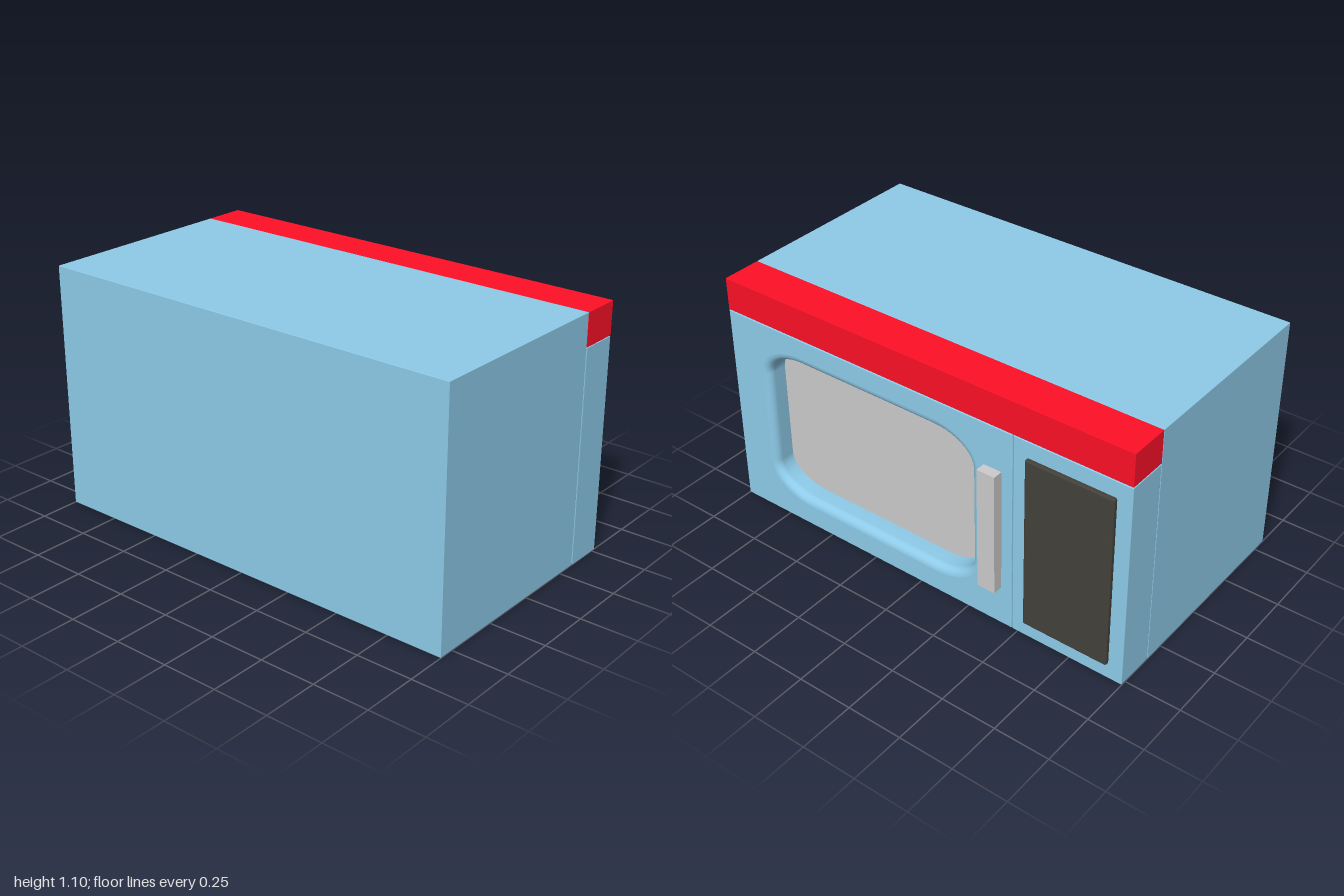
import * as THREE from 'three';
import { RoundedBoxGeometry } from 'three/addons/geometries/RoundedBoxGeometry.js';

const paint = (color) => new THREE.MeshStandardMaterial({ color });
const blue = paint(0x8ecbe9);
const red = paint(0xfe1027);
const dark = paint(0x43413a);
const grey = paint(0xcccccc);

const FRONT = 0.525, BACK = 0.345, GLASS = 0.43;
const BEVEL = 0.004, FILLET = 0.035;

// Window outline in door coordinates (u = -z, v = y), grown outward by o
function windowPoints(o) {
  const cu = -0.265, cv = 0.48, hw = 0.535 + o, hh = 0.345 + o;
  const ru = 0.19 + o, rv = 0.12 + o, steps = 10, pts = [];
  const corners = [[1, 1], [-1, 1], [-1, -1], [1, -1]];
  corners.forEach(([su, sv], k) => {
    for (let i = 0; i <= steps; i++) {
      const a = (k + i / steps) * Math.PI / 2;
      pts.push(new THREE.Vector2(
        cu + su * (hw - ru) + ru * Math.cos(a),
        cv + sv * (hh - rv) + rv * Math.sin(a)));
    }
  });
  return pts;
}

// Rounded rim and straight wall of the window recess, lofted from rings
function recessGeometry() {
  const profile = [];
  for (let i = 0; i <= 6; i++) {
    const t = i / 6 * Math.PI / 2;
    profile.push([FILLET * (1 - Math.sin(t)), FRONT - FILLET * (1 - Math.cos(t))]);
  }
  profile.push([0, GLASS]);
  const pos = [], index = [];
  profile.forEach(([o, x]) => windowPoints(o).forEach((p) => pos.push(x, p.y, -p.x)));
  const n = windowPoints(0).length;
  for (let r = 0; r < profile.length - 1; r++) {
    for (let i = 0; i < n; i++) {
      const a = r * n + i, b = r * n + (i + 1) % n;
      index.push(a, b, a + n, b, b + n, a + n);
    }
  }
  const g = new THREE.BufferGeometry();
  g.setAttribute('position', new THREE.Float32BufferAttribute(pos, 3));
  g.setIndex(index);
  g.computeVertexNormals();
  return g;
}

export function createModel() {
  const group = new THREE.Group();
  const add = (name, geometry, material) => {
    const mesh = new THREE.Mesh(geometry, material);
    mesh.name = name;
    group.add(mesh);
    return mesh;
  };
  // Softly edged box given by its extents
  const box = (name, material, x0, x1, y0, y1, z0, z1, radius = BEVEL) => {
    add(name, new RoundedBoxGeometry(x1 - x0, y1 - y0, z1 - z0, 2, radius), material)
      .position.set((x0 + x1) / 2, (y0 + y1) / 2, (z0 + z1) / 2);
  };

  box('body', blue, -0.57, 0.342, 0, 1.1, -1, 1, 0.002);
  box('topTrim', red, BACK - 0.002, FRONT, 0.953, 1.1, -1, 1, 0.002);
  box('controlSection', blue, BACK - 0.002, FRONT, 0, 0.95, -1, -0.473);
  box('controlPanel', dark, FRONT - 0.02, 0.543, 0.075, 0.877, -0.935, -0.537, 0.008);
  add('handle', new THREE.BoxGeometry(0.05, 0.57, 0.084), grey).position.set(0.545, 0.472, -0.377);

  // Door slab with the window cut through it
  const door = new THREE.Shape([
    new THREE.Vector2(-1, 0), new THREE.Vector2(0.47, 0),
    new THREE.Vector2(0.47, 0.95), new THREE.Vector2(-1, 0.95),
  ]);
  door.holes.push(new THREE.Path(windowPoints(FILLET - BEVEL).reverse()));
  const slab = new THREE.ExtrudeGeometry(door, {
    depth: FRONT - BACK - 2 * BEVEL, bevelEnabled: true, bevelSegments: 2,
    bevelSize: BEVEL, bevelThickness: BEVEL, bevelOffset: -BEVEL,
  });
  slab.rotateY(Math.PI / 2).translate(BACK + BEVEL, 0, 0);
  add('door', slab, blue);

  const recess = add('windowRecess', recessGeometry(), blue.clone());
  recess.material.side = THREE.DoubleSide;

  // Window pane at the bottom of the recess
  const pane = new THREE.ExtrudeGeometry(new THREE.Shape(windowPoints(0.001)), {
    depth: 0.02, bevelEnabled: false,
  });
  pane.rotateY(Math.PI / 2).translate(GLASS - 0.02, 0, 0);
  add('windowPane', pane, grey);

  return group;
}
